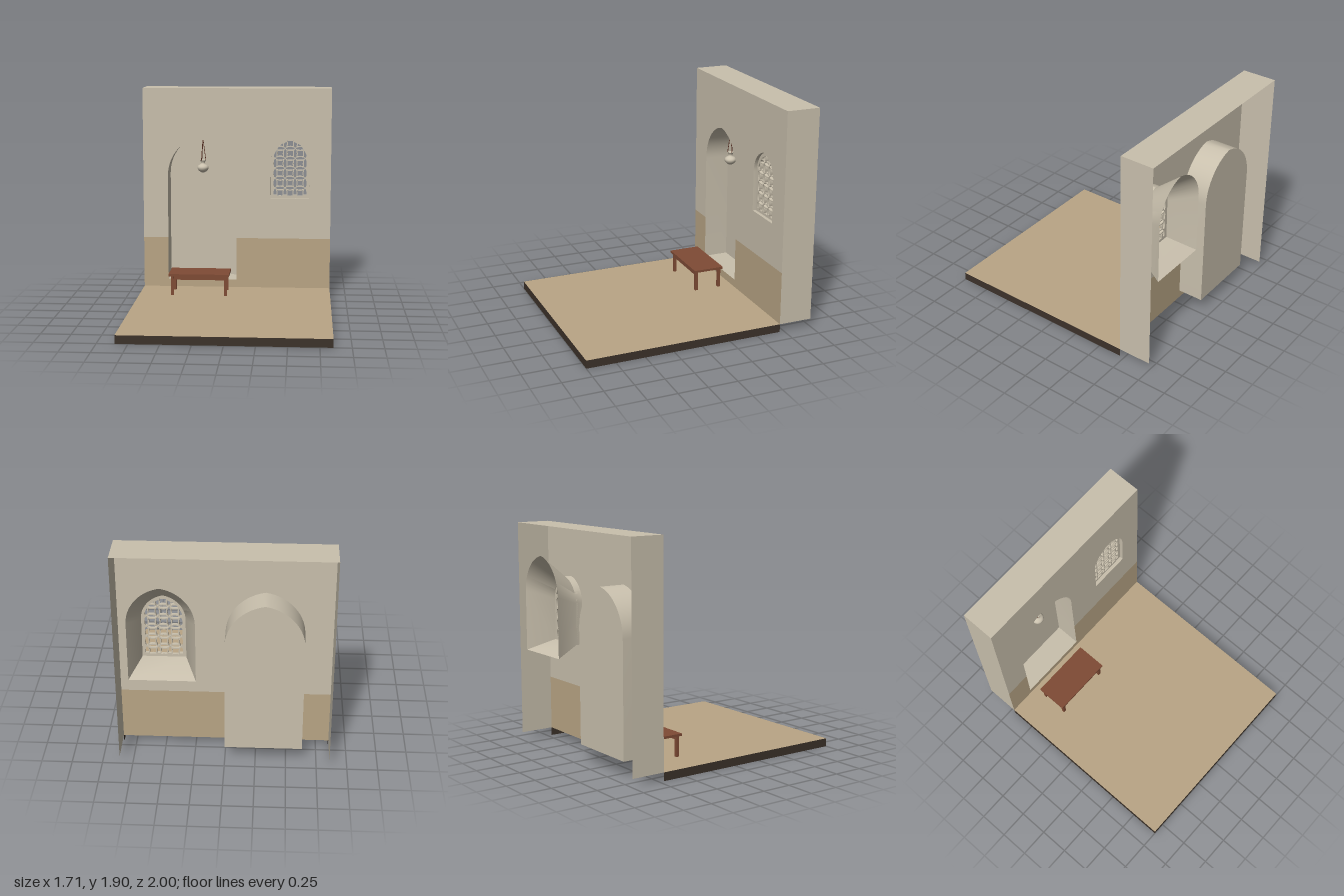
import * as THREE from 'three';
import { toCreasedNormals } from 'three/addons/utils/BufferGeometryUtils.js';

const V = (x, y) => new THREE.Vector2(x, y);

export function createModel() {
  const model = new THREE.Group();
  const mat = (name, color) => {
    const m = new THREE.MeshStandardMaterial({ color, side: THREE.DoubleSide });
    m.name = name;
    return m;
  };
  const plaster = mat('cream plaster', 0xc9c0ad);
  const sand = mat('sand', 0xb9a585);
  const dark = mat('dark edge', 0x3c322a);
  const wood = mat('red brown wood', 0x7f4b35);
  const wire = mat('dark brown wire', 0x5e3426);

  const add = (name, geometry, material, x = 0, y = 0, z = 0, parent = model) => {
    const mesh = new THREE.Mesh(geometry, material);
    mesh.name = name;
    mesh.position.set(x, y, z);
    parent.add(mesh);
    return mesh;
  };

  // Pointed arch outline, from bottom left over the apex to bottom right
  const arch = (cx, w, bottom, spring, apex, n = 14) => {
    const h = apex - spring, d = (h * h - w * w) / (2 * w), r = w + d;
    const end = Math.atan2(h, d), left = [];
    for (let i = 0; i <= n; i++) {
      const a = (end * i) / n;
      left.push([d - r * Math.cos(a), spring + r * Math.sin(a)]);
    }
    const right = left.slice(0, n).reverse().map(([x, y]) => [-x, y]);
    return [[-w, bottom], ...left, ...right, [w, bottom]].map(([x, y]) => V(cx + x, y));
  };

  // Skin closed outlines placed at different depths
  const loft = (sections) => {
    const pos = [], idx = [], n = sections[0].points.length;
    sections.forEach((s) => s.points.forEach((p) => pos.push(p.x, p.y, s.z)));
    for (let s = 0; s < sections.length - 1; s++) {
      for (let i = 0; i < n; i++) {
        const a = s * n + i, b = s * n + ((i + 1) % n);
        idx.push(a, b, a + n, b, b + n, a + n);
      }
    }
    const g = new THREE.BufferGeometry();
    g.setAttribute('position', new THREE.Float32BufferAttribute(pos, 3));
    g.setIndex(idx);
    return toCreasedNormals(g, 0.5);
  };

  const W = 0.855, FLOOR = 0.07, DADO = 0.53, TOP = 1.9, FRONT = -0.71, BACK = -1;
  const MIDZ = (FRONT + BACK) / 2, DEPTH = FRONT - BACK;

  // Floor with a dark skirt, open below and behind
  add('floor', new THREE.PlaneGeometry(2 * W, 1 - FRONT).rotateX(-Math.PI / 2), sand, 0, FLOOR, (1 + FRONT) / 2);
  add('floorFrontEdge', new THREE.PlaneGeometry(2 * W, FLOOR), dark, 0, FLOOR / 2, 1);
  for (const s of [-1, 1]) {
    const side = s > 0 ? 'left' : 'right';
    add(side + 'FloorEdge', new THREE.PlaneGeometry(1 - FRONT, FLOOR).rotateY(s * Math.PI / 2), dark,
      s * W, FLOOR / 2, (1 + FRONT) / 2);
    add(side + 'WallEnd', new THREE.PlaneGeometry(DEPTH, TOP - FLOOR).rotateY(s * Math.PI / 2), plaster,
      s * W, (TOP + FLOOR) / 2, MIDZ);
  }
  add('wallTop', new THREE.PlaneGeometry(2 * W, DEPTH).rotateX(-Math.PI / 2), plaster, 0, TOP, MIDZ);

  // Wall face with niche and window openings, sand band below
  const niche = arch(-0.315, 0.315, 0.14, 1.1, 1.47);
  const win = arch(0.485, 0.175, 0.9, 1.25, 1.46);
  const upper = new THREE.Shape([
    V(-W, DADO), V(-0.63, DADO), ...niche.slice(1, -1), V(0, DADO), V(W, DADO), V(W, TOP), V(-W, TOP),
  ]);
  upper.holes.push(new THREE.Path(win));
  add('upperWall', new THREE.ShapeGeometry(upper), plaster, 0, 0, FRONT);
  const band = new THREE.Shape([
    V(-W, FLOOR), V(W, FLOOR), V(W, DADO), V(0, DADO), V(0, 0.14), V(-0.63, 0.14), V(-0.63, DADO), V(-W, DADO),
  ]);
  add('lowerWallBand', new THREE.ShapeGeometry(band), sand, 0, 0, FRONT);

  // Arched niche
  add('nicheSides', loft([{ points: niche, z: FRONT }, { points: niche, z: -0.93 }]), plaster);
  add('nicheBack', new THREE.ShapeGeometry(new THREE.Shape(niche)), plaster, 0, 0, -0.93);

  // Window reveal, straight at the front and flaring behind
  const flare = arch(0.485, 0.265, 0.82, 1.33, 1.645);
  add('windowReveal', loft([
    { points: win, z: FRONT }, { points: win, z: -0.77 }, { points: flare, z: -0.995 },
  ]), plaster);

  // Pierced lattice: curved squares with petals between them
  const inner = new THREE.Shape(win);
  const limit = arch(0.485, 0.157, 0.918, 1.25, 1.437);
  const inside = (p) => {
    let hit = false;
    limit.forEach((a, i) => {
      const b = limit[(i + 1) % limit.length];
      if ((a.y > p.y) !== (b.y > p.y) && p.x < ((b.x - a.x) * (p.y - a.y)) / (b.y - a.y) + a.x) hit = !hit;
    });
    return hit;
  };
  const pierce = (points) => {
    const kept = points.filter(inside);
    if (kept.length > 4) inner.holes.push(new THREE.Path(kept));
  };
  const petal = (cx, cy, upright) => {
    const pts = [];
    for (let i = 0; i < 16; i++) {
      const t = (i / 8) * Math.PI;
      const u = 0.041 * Math.cos(t), v = 0.0135 * Math.sin(t);
      pts.push(upright ? V(cx - v, cy + u) : V(cx + u, cy + v));
    }
    pierce(pts);
  };
  const square = (cx, cy) => {
    const pts = [];
    for (let k = 0; k < 4; k++) {
      const a = (k * Math.PI) / 2;
      for (let i = 0; i < 4; i++) {
        const t = i / 2 - 1, u = 0.0265 - 0.004 * (1 - t * t), v = 0.0265 * t;
        pts.push(V(cx + u * Math.cos(a) - v * Math.sin(a), cy + u * Math.sin(a) + v * Math.cos(a)));
      }
    }
    pierce(pts);
  };
  const S = 0.091;
  for (let row = 0; row < 6; row++) {
    const y = 0.946 + row * S;
    for (let col = -1; col <= 1; col++) {
      square(0.485 + col * S, y);
      petal(0.485 + col * S, y + S / 2, false);
    }
    for (let col = -1.5; col <= 1.5; col++) petal(0.485 + col * S, y, true);
  }
  add('windowLattice', new THREE.ExtrudeGeometry(inner, { depth: 0.025, bevelEnabled: false }), plaster, 0, 0, -0.765);

  // Hanging lamp
  const lamp = new THREE.Group();
  lamp.name = 'hangingLamp';
  lamp.position.set(-0.315, 0, -0.8);
  model.add(lamp);
  const profile = new THREE.SplineCurve([
    V(0.001, 1.123), V(0.02, 1.127), V(0.042, 1.145), V(0.052, 1.168), V(0.044, 1.187),
    V(0.024, 1.2), V(0.018, 1.212), V(0.022, 1.226), V(0.029, 1.238),
  ]);
  add('lampBowl', new THREE.LatheGeometry(profile.getPoints(24), 28), plaster, 0, 0, 0, lamp);
  for (let i = 0; i < 3; i++) {
    const a = (i / 3) * Math.PI * 2;
    const path = new THREE.LineCurve3(
      new THREE.Vector3(0.026 * Math.cos(a), 1.236, 0.026 * Math.sin(a)),
      new THREE.Vector3(0.002 * Math.cos(a), 1.42, 0.002 * Math.sin(a)));
    add('lampWire', new THREE.TubeGeometry(path, 1, 0.003, 6), wire, 0, 0, 0, lamp);
  }

  // Bench
  const bench = new THREE.Group();
  bench.name = 'bench';
  bench.position.set(-0.317, 0, -0.475);
  model.add(bench);
  add('benchTop', new THREE.BoxGeometry(0.542, 0.02, 0.272), wood, 0, 0.255, 0, bench);
  for (const sz of [-1, 1]) {
    add('benchRail', new THREE.BoxGeometry(0.455, 0.034, 0.018), wood, 0, 0.228, sz * 0.11, bench);
    for (const sx of [-1, 1]) {
      add('benchLeg', new THREE.BoxGeometry(0.026, 0.175, 0.026), wood, sx * 0.238, 0.1575, sz * 0.11, bench);
    }
  }
  return model;
}
